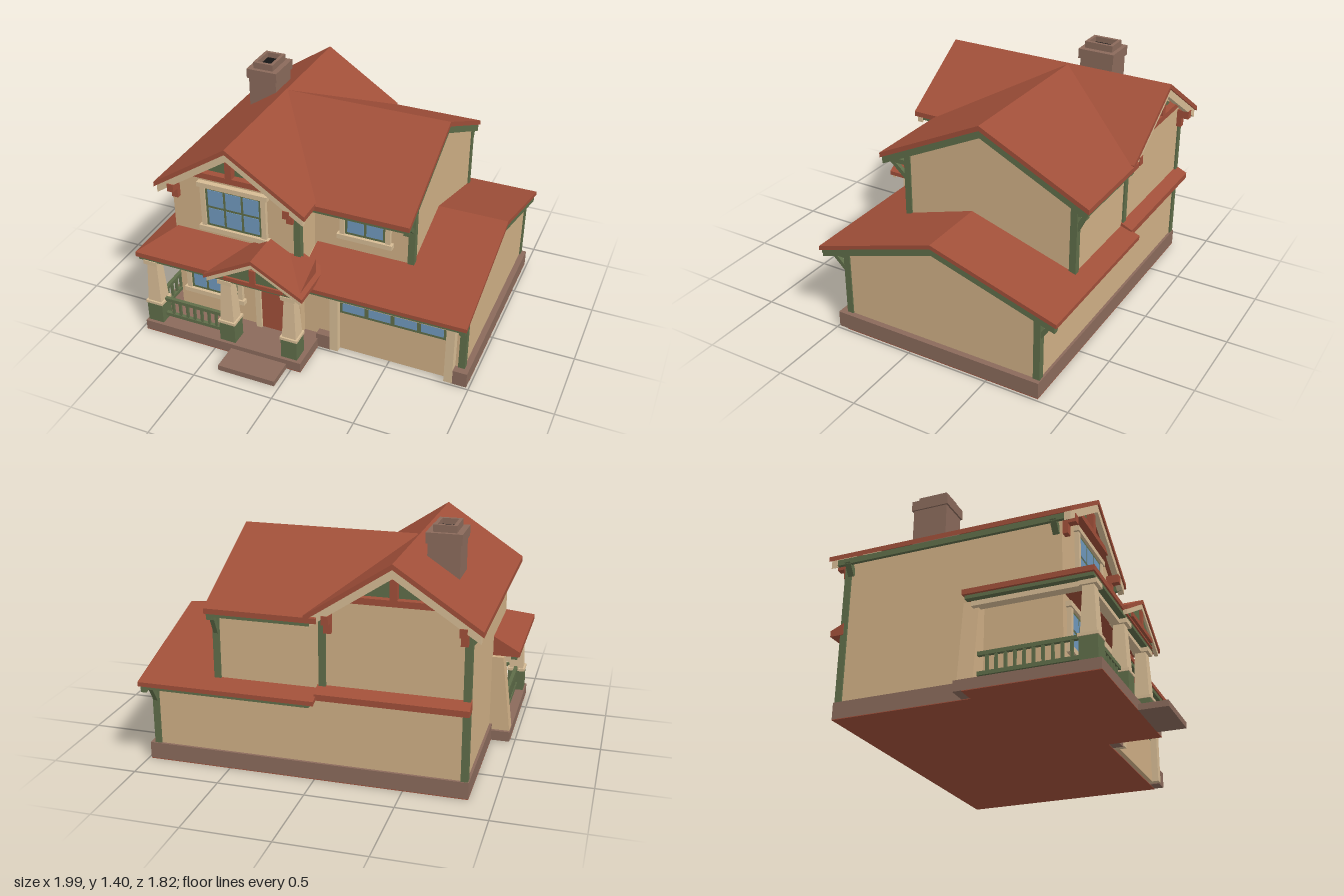
import * as THREE from 'three';
import { ConvexGeometry } from 'three/addons/geometries/ConvexGeometry.js';

const material = (name, color) => {
  const m = new THREE.MeshStandardMaterial({ color });
  m.name = name;
  return m;
};

export function createModel() {
  const house = new THREE.Group();
  house.name = 'house';
  const red = material('roof red', 0xa04f39);
  const wall = material('wall tan', 0xcfaf85);
  const trim = material('trim cream', 0xd6bb94);
  const green = material('trim green', 0x5f6d49);
  const stone = material('stone brown', 0x8a6a5b);
  const blue = material('glass blue', 0x7099bd);
  const black = material('flue black', 0x141414);

  const add = (name, geo, mat) => {
    const m = new THREE.Mesh(geo, mat);
    m.name = name;
    house.add(m);
    return m;
  };
  const box = (name, mat, x0, x1, y0, y1, z0, z1) => {
    const m = add(name, new THREE.BoxGeometry(x1 - x0, y1 - y0, z1 - z0), mat);
    m.position.set((x0 + x1) / 2, (y0 + y1) / 2, (z0 + z1) / 2);
    return m;
  };
  // Square bar between two points
  const bar = (name, mat, a, b, w) => {
    const p = new THREE.Vector3(...a), q = new THREE.Vector3(...b);
    const m = add(name, new THREE.BoxGeometry(w, w, p.distanceTo(q)), mat);
    m.position.copy(p).add(q).multiplyScalar(0.5);
    m.lookAt(q);
    return m;
  };
  // Outline extruded along z (points x,y) or along x (points z,y)
  const extrude = (pts, depth) => new THREE.ExtrudeGeometry(
    new THREE.Shape(pts.map(p => new THREE.Vector2(...p))), { depth, bevelEnabled: false });
  const prismZ = (name, mat, pts, z0, z1) =>
    add(name, extrude(pts, z1 - z0).translate(0, 0, z0), mat);
  const prismX = (name, mat, pts, x0, x1) =>
    add(name, extrude(pts, x1 - x0).rotateY(-Math.PI / 2).translate(x1, 0, 0), mat);
  const chevron = (c, half, ridge, drop, thick) => [
    [c - half, ridge - drop - thick], [c, ridge - thick], [c + half, ridge - drop - thick],
    [c + half, ridge - drop], [c, ridge], [c - half, ridge - drop]];
  const hull = (name, mat, pts) =>
    add(name, new ConvexGeometry(pts.map(p => new THREE.Vector3(...p))), mat);

  // Foundations, porch floor and step
  box('foundation', stone, -0.86, 0.985, 0.004, 0.1, -0.815, 0.43);
  box('foundationFrontRight', stone, 0.89, 0.985, 0.004, 0.1, 0.43, 0.49);
  box('foundationFrontLeft', stone, 0.05, 0.14, 0.004, 0.1, 0.43, 0.49);
  box('porchFloor', stone, -0.97, 0.06, 0.004, 0.065, -0.05, 0.74);
  box('frontStep', stone, -0.39, -0.03, 0, 0.035, 0.74, 0.905);
  box('underside', red, -0.86, 0.985, 0, 0.004, -0.815, 0.43);
  box('porchUnderside', red, -0.97, 0.06, 0, 0.004, 0.0, 0.74);

  // Walls
  prismZ('gableBlockWalls', wall, [[-0.845, 0.05], [-0.045, 0.05], [-0.045, 0.99], [-0.445, 1.25], [-0.845, 0.99]], -0.8, 0.5);
  prismX('upperWalls', wall, [[-0.8, 0.4], [0.275, 0.4], [0.275, 1.01], [-0.22, 1.25], [-0.8, 0.97]], -0.1, 0.565);
  prismX('garageWalls', wall, [[-0.8, 0.05], [0.44, 0.05], [0.44, 0.53], [-0.16, 0.71], [-0.8, 0.51]], -0.1, 0.95);

  // Roofs
  prismZ('gableRoof', red, chevron(-0.445, 0.475, 1.29, 0.315, 0.03), -0.88, 0.58);
  prismX('upperRoof', red, chevron(-0.22, 0.66, 1.285, 0.32, 0.03), -0.04, 0.59);
  prismX('upperRoofValley', red, chevron(-0.22, 0.55, 1.285, 0.32 * 0.55 / 0.66, 0.03), -0.43, -0.04);
  prismX('garageRoof', red, chevron(-0.16, 0.755, 0.745, 0.235, 0.025), -0.03, 0.99);

  // Gable boards and eave boards
  for (const [z0, z1] of [[0.535, 0.57], [-0.87, -0.835]])
    prismZ('gableBoard', trim, chevron(-0.445, 0.46, 1.26, 0.305, 0.05), z0, z1);
  prismX('upperGableBoard', green, chevron(-0.22, 0.645, 1.255, 0.313, 0.045), 0.55, 0.582);
  prismX('garageGableBoard', green, chevron(-0.16, 0.74, 0.72, 0.23, 0.045), 0.945, 0.98);
  box('upperFrontEave', green, 0.0, 0.58, 0.915, 0.945, 0.405, 0.43);
  box('upperBackEave', green, 0.0, 0.58, 0.915, 0.945, -0.87, -0.845);
  box('garageFrontEave', green, 0.04, 0.98, 0.465, 0.495, 0.555, 0.585);
  box('garageBackEave', green, 0.0, 0.98, 0.465, 0.495, -0.9, -0.87);
  box('gableLeftEave', green, -0.9, -0.88, 0.92, 0.955, -0.86, 0.56);
  box('gableRightEave', green, -0.01, 0.01, 0.92, 0.955, 0.42, 0.56);

  // Skirt roof across the back of the gable block
  prismX('backSkirtRoof', red, [[-0.79, 0.5], [-0.79, 0.57], [-0.87, 0.535], [-0.87, 0.5]], -0.86, -0.02);

  // Gable timber on both ends
  for (const s of [1, -1]) {
    const zOut = s > 0 ? 0.5 : -0.8;
    const span = (a, b) => [Math.min(zOut + s * a, zOut + s * b), Math.max(zOut + s * a, zOut + s * b)];
    prismZ('gableInfill', green, [[-0.68, 1.06], [-0.21, 1.06], [-0.445, 1.215]], ...span(-0.01, 0.008));
    box('gableCrossbeam', red, -0.71, -0.18, 1.055, 1.09, ...span(0, 0.05));
    box('gableKingPost', red, -0.465, -0.425, 1.09, 1.2, ...span(0, 0.05));
    for (const x of [-0.815, -0.085]) {
      box('gableBracket', red, x - 0.02, x + 0.02, 0.87, 0.98, ...span(0, 0.03));
      box('gableBracketArm', red, x - 0.02, x + 0.02, 0.93, 0.98, ...span(0.03, 0.075));
    }
  }

  // Corner posts
  const post = (x, z, y0, y1) => box('cornerPost', green, x - 0.02, x + 0.02, y0, y1, z - 0.02, z + 0.02);
  [[-0.835, -0.79, 0.1, 0.95], [-0.05, 0.49, 0.55, 0.95], [-0.05, -0.79, 0.52, 0.95],
    [0.553, 0.262, 0.55, 0.98], [0.553, -0.788, 0.52, 0.95],
    [0.938, 0.428, 0.1, 0.51], [0.938, -0.788, 0.1, 0.49]].forEach(p => post(...p));

  // Eave brackets
  const bracket = (x, y, z, s, reach) => {
    bar('eaveBracketArm', green, [x, y, z], [x, y, z + s * reach], 0.028);
    bar('eaveBracketBrace', green, [x, y - 0.1, z], [x, y, z + s * reach * 0.8], 0.025);
  };
  bracket(0.553, 0.93, 0.27, 1, 0.14);
  bracket(0.553, 0.91, -0.8, -1, 0.06);
  bracket(0.938, 0.47, 0.43, 1, 0.13);
  bracket(0.938, 0.47, -0.8, -1, 0.08);
  for (const z of [0.47, -0.77]) bar('sideEaveBracket', green, [-0.84, 0.87, z], [-0.89, 0.94, z], 0.035);

  // Windows: casing, frame and panes
  const windowUnit = (name, x0, x1, y0, y1, z, cols, rows) => {
    box(name + 'Frame', green, x0, x1, y0, y1, z - 0.01, z + 0.015);
    const g = 0.016, w = (x1 - x0 - g) / cols, h = (y1 - y0 - g) / rows;
    for (let i = 0; i < cols; i++) for (let j = 0; j < rows; j++)
      box(name + 'Pane', blue, x0 + g + i * w, x0 + (i + 1) * w, y0 + g + j * h, y0 + (j + 1) * h, z + 0.012, z + 0.018);
    for (const [a, b] of [[x0 - 0.03, x0], [x1, x1 + 0.03]]) box(name + 'Casing', trim, a, b, y0, y1, z, z + 0.025);
    box(name + 'Header', trim, x0 - 0.045, x1 + 0.045, y1, y1 + 0.03, z, z + 0.032);
    box(name + 'Sill', trim, x0 - 0.045, x1 + 0.045, y0 - 0.03, y0, z, z + 0.035);
  };
  windowUnit('bedroomWindow', -0.62, -0.265, 0.72, 0.98, 0.5, 3, 2);
  windowUnit('sideWindow', 0.15, 0.4, 0.72, 0.89, 0.275, 2, 1);
  windowUnit('porchWindow', -0.76, -0.445, 0.23, 0.455, 0.5, 3, 2);

  // Front door
  box('frontDoor', red, -0.29, -0.11, 0.065, 0.45, 0.49, 0.515);
  for (const x of [-0.325, -0.11]) box('doorJamb', trim, x, x + 0.035, 0.065, 0.45, 0.49, 0.53);
  box('doorHeader', trim, -0.335, -0.065, 0.45, 0.485, 0.49, 0.535);
  const knob = add('doorKnob', new THREE.SphereGeometry(0.013, 12, 8), trim);
  knob.position.set(-0.13, 0.25, 0.525);

  // Garage door with a row of lights
  box('garageDoor', wall, 0.19, 0.85, 0.01, 0.28, 0.42, 0.455);
  box('garageLightBand', green, 0.19, 0.85, 0.28, 0.385, 0.42, 0.458);
  for (let i = 0; i < 4; i++) {
    const x = 0.21 + i * 0.16;
    box('garageLight', blue, x, x + 0.135, 0.298, 0.36, 0.455, 0.462);
  }
  for (const x of [0.14, 0.85]) box('garageJamb', trim, x, x + 0.05, 0.01, 0.385, 0.42, 0.495);
  box('garageHeader', trim, 0.14, 0.9, 0.385, 0.43, 0.42, 0.495);

  // Porch roof wrapping the left corner
  hull('porchRoofSide', red, [[-1, 0.525, 0], [-1, 0.555, 0], [-1, 0.525, 0.725], [-1, 0.555, 0.725],
    [-0.83, 0.525, 0], [-0.83, 0.65, 0], [-0.83, 0.525, 0.5], [-0.83, 0.65, 0.5]]);
  hull('porchRoofFront', red, [[-1, 0.525, 0.725], [-1, 0.555, 0.725], [0.06, 0.525, 0.725], [0.06, 0.555, 0.725],
    [-0.83, 0.525, 0.5], [-0.83, 0.65, 0.5], [0.06, 0.525, 0.5], [0.06, 0.65, 0.5]]);
  box('porchFrontFascia', green, -0.985, 0.05, 0.505, 0.525, 0.68, 0.715);
  box('porchSideFascia', green, -0.985, -0.95, 0.505, 0.525, 0.01, 0.7);
  box('porchFrontBeam', trim, -0.945, 0.03, 0.48, 0.524, 0.63, 0.68);
  box('porchSideBeam', trim, -0.945, -0.89, 0.48, 0.524, 0.03, 0.63);

  // Entry gable
  prismZ('entryRoof', red, chevron(-0.225, 0.31, 0.72, 0.175, 0.025), 0.43, 0.75);
  prismZ('entryGableBoard', trim, chevron(-0.225, 0.295, 0.695, 0.167, 0.03), 0.72, 0.742);
  prismZ('entryInfill', green, [[-0.45, 0.535], [0, 0.535], [-0.225, 0.67]], 0.68, 0.729);
  box('entryCrossbeam', red, -0.41, -0.04, 0.535, 0.56, 0.7, 0.742);
  box('entryKingPost', red, -0.243, -0.207, 0.56, 0.65, 0.7, 0.742);

  // Tapered porch columns on green piers
  for (const x of [-0.91, -0.42, -0.02]) {
    box('columnPier', green, x - 0.05, x + 0.05, 0.065, 0.195, 0.62, 0.72);
    box('columnBase', trim, x - 0.055, x + 0.055, 0.195, 0.212, 0.615, 0.725);
    const shaft = add('columnShaft', new THREE.CylinderGeometry(0.044, 0.062, 0.27, 4, 1).toNonIndexed(), trim);
    shaft.geometry.computeVertexNormals();
    shaft.rotation.y = Math.PI / 4;
    shaft.position.set(x, 0.347, 0.67);
    box('columnCap', trim, x - 0.045, x + 0.045, 0.48, 0.508, 0.625, 0.72);
  }
  prismZ('sidePilaster', wall, [[-0.965, 0.065], [-0.84, 0.065], [-0.84, 0.525], [-0.91, 0.525]], -0.03, 0.06);

  // Porch railings
  const railing = (a, b, n) => {
    const at = (t, y) => [a[0] + (b[0] - a[0]) * t, y, a[1] + (b[1] - a[1]) * t];
    for (const y of [0.105, 0.215]) bar('rail', green, at(0, y), at(1, y), 0.022);
    for (let i = 1; i < n; i++) bar('baluster', green, at(i / n, 0.1), at(i / n, 0.215), 0.015);
  };
  railing([-0.86, 0.67], [-0.47, 0.67], 8);
  railing([-0.91, 0.06], [-0.91, 0.62], 11);

  // Chimney with an open cap
  box('chimney', stone, -0.715, -0.535, 0.95, 1.3, -0.465, -0.255);
  box('chimneyLip', stone, -0.725, -0.525, 1.3, 1.36, -0.475, -0.245);
  for (const [a, b] of [[-0.69, -0.67], [-0.58, -0.56]]) box('chimneyCapSide', stone, a, b, 1.36, 1.4, -0.45, -0.27);
  for (const [a, b] of [[-0.45, -0.43], [-0.29, -0.27]]) box('chimneyCapEnd', stone, -0.67, -0.58, 1.36, 1.4, a, b);
  box('flue', black, -0.67, -0.58, 1.36, 1.367, -0.43, -0.29);

  return house;
}
